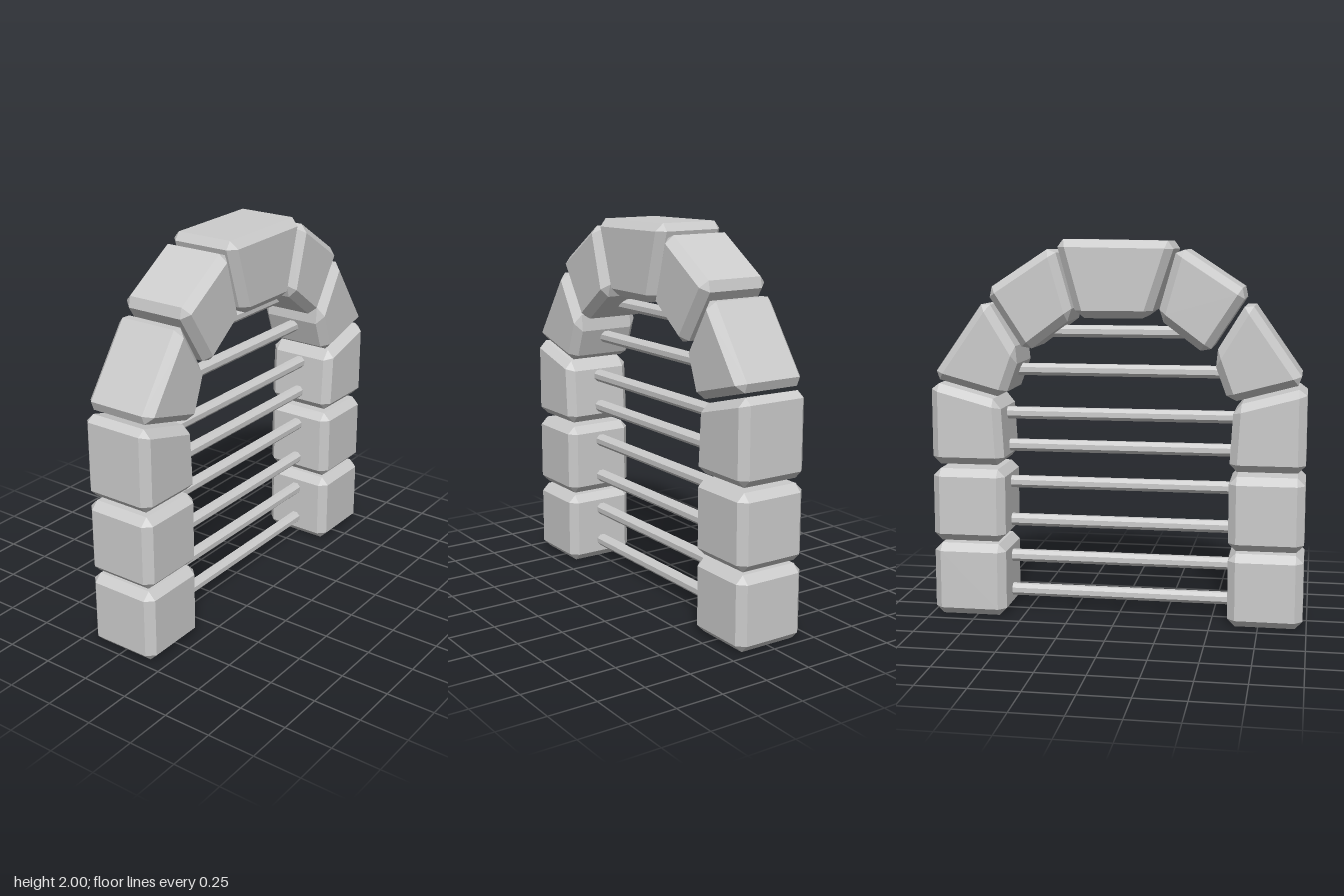
import * as THREE from 'three';
import { ConvexGeometry } from 'three/addons/geometries/ConvexGeometry.js';

const HALF_DEPTH = 0.195;
const BEVEL = 0.04;

const material = new THREE.MeshStandardMaterial({ color: 0xcccccc, flatShading: true });

// Stone with a four-cornered front outline and every edge chamfered
function stone(name, outline) {
  const corners = outline.map(([x, y]) => new THREE.Vector2(x, y));
  const points = [];
  corners.forEach((p, i) => {
    const a = corners[(i + 1) % 4].clone().sub(p).normalize();
    const b = corners[(i + 3) % 4].clone().sub(p).normalize();
    const inset = BEVEL / Math.abs(a.cross(b));
    a.multiplyScalar(inset);
    b.multiplyScalar(inset);
    for (const s of [1, -1]) {
      points.push(
        new THREE.Vector3(p.x + a.x + b.x, p.y + a.y + b.y, s * HALF_DEPTH),
        new THREE.Vector3(p.x + a.x, p.y + a.y, s * (HALF_DEPTH - BEVEL)),
        new THREE.Vector3(p.x + b.x, p.y + b.y, s * (HALF_DEPTH - BEVEL))
      );
    }
  });
  const mesh = new THREE.Mesh(new ConvexGeometry(points), material);
  mesh.name = name;
  return mesh;
}

// Horizontal eight-sided bar, ends buried in the stones
function bar(y, halfLength) {
  const geometry = new THREE.CylinderGeometry(0.034, 0.034, halfLength * 2, 8);
  geometry.rotateY(Math.PI / 8).rotateZ(Math.PI / 2);
  const mesh = new THREE.Mesh(geometry, material);
  mesh.name = 'bar';
  mesh.position.y = y;
  return mesh;
}

export function createModel() {
  const group = new THREE.Group();
  group.name = 'barredArch';

  // Stones of one side, from the ground up
  const sideStones = {
    BaseStone: [[0.59, 0], [0.98, 0], [0.98, 0.39], [0.59, 0.39]],
    MiddleStone: [[0.59, 0.405], [0.98, 0.405], [0.98, 0.795], [0.59, 0.795]],
    SpringerStone: [[0.59, 0.82], [0.98, 0.82], [0.98, 1.26], [0.61, 1.16]],
    LowerArchStone: [[0.585, 1.175], [0.975, 1.28], [0.68, 1.7], [0.5, 1.405]],
    UpperArchStone: [[0.47, 1.415], [0.68, 1.735], [0.32, 1.97], [0.215, 1.605]],
  };
  for (const [name, outline] of Object.entries(sideStones)) {
    group.add(stone('left' + name, outline));
    group.add(stone('right' + name, outline.map(([x, y]) => [-x, y])));
  }

  // Keystone, very slightly uneven
  group.add(stone('keystone', [[-0.18, 1.598], [0.2, 1.598], [0.31, 2], [-0.31, 1.99]]));

  // Bars across the opening
  const bars = [
    [0.105, 0.66], [0.295, 0.66], [0.495, 0.66], [0.705, 0.66],
    [0.905, 0.66], [1.08, 0.66], [1.315, 0.62], [1.52, 0.42],
  ];
  for (const [y, halfLength] of bars) group.add(bar(y, halfLength));

  return group;
}
